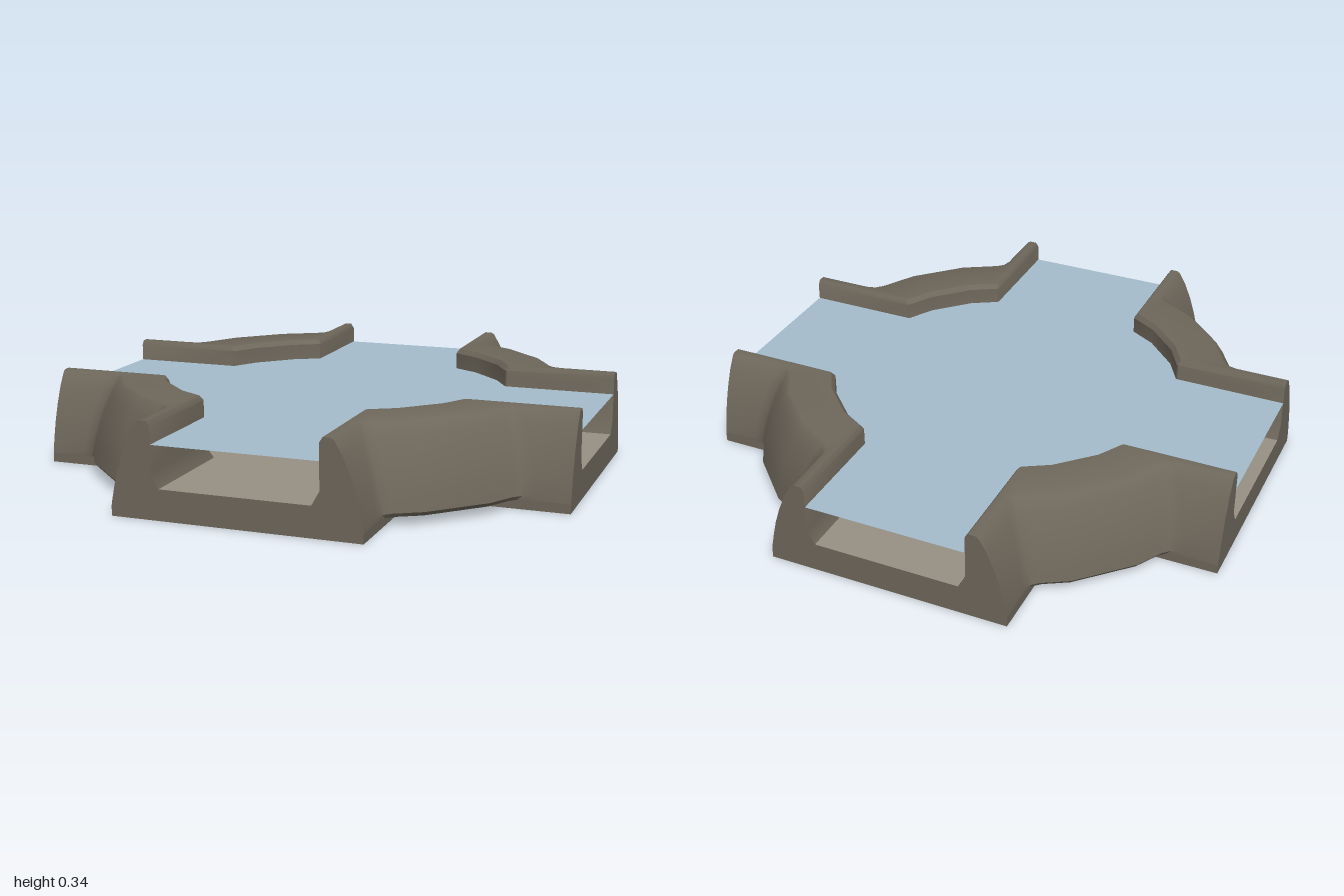
import * as THREE from 'three';
import { toCreasedNormals } from 'three/addons/utils/BufferGeometryUtils.js';

// wall profile, outer foot to inner foot: [distance from arm axis, radius in the round middle, height]
const PROFILE = [
  [0.45, 0.936, 0.035], [0.448, 0.948, 0.05], [0.436, 0.936, 0.11], [0.424, 0.922, 0.16],
  [0.405, 0.9, 0.22], [0.378, 0.868, 0.285], [0.35, 0.838, 0.333], [0.338, 0.826, 0.34],
  [0.312, 0.67, 0.34], [0.3, 0.655, 0.322], [0.3, 0.655, 0.16], [0.272, 0.627, 0.11],
];
const LAST_OUTER = 7;

// plan line [x, z] of one corner wall: straight, bend, faceted arc, bend, straight
function planPath(a, r, fillet) {
  const at = (deg) => {
    const t = THREE.MathUtils.degToRad(deg);
    return [r * Math.cos(t), r * Math.sin(t)];
  };
  const p = at(22.5), q = at(37.5);
  const k = (a - p[1]) / (q[1] - p[1]);
  const c = [p[0] + k * (q[0] - p[0]), a];
  const len = Math.hypot(q[0] - c[0], q[1] - c[1]);
  const s = [c[0] + fillet, a];
  const e = [0, 1].map((i) => c[i] + (fillet * (q[i] - c[i])) / len);
  const m = [0, 1].map((i) => 0.25 * s[i] + 0.5 * c[i] + 0.25 * e[i]);
  const half = [[1, a], s, m, e, q];
  return [...half, ...half.map(([x, z]) => [z, x]).reverse()];
}

// loft of the profile rows along the plan
function wallGeometry() {
  const rows = PROFILE.map(([a, r, y], j) =>
    planPath(a, r, j <= LAST_OUTER ? 0.04 : 0.006).map(([x, z]) => [x, y, z]));
  const n = rows[0].length;
  const index = [];
  for (let j = 0; j < rows.length - 1; j++) {
    for (let i = 0; i < n - 1; i++) {
      const k = j * n + i;
      index.push(k, k + n, k + 1, k + 1, k + n, k + n + 1);
    }
  }
  const g = new THREE.BufferGeometry();
  g.setAttribute('position', new THREE.Float32BufferAttribute(rows.flat(2), 3));
  g.setIndex(index);
  return toCreasedNormals(g, 0.6);
}

const shapeOf = (pts) => new THREE.Shape(pts.map(([x, y]) => new THREE.Vector2(x, y)));

// flat horizontal face from [x, z] points
function flat(pts, y, up) {
  const sign = up ? -1 : 1;
  const g = new THREE.ShapeGeometry(shapeOf(pts.map(([x, z]) => [x, sign * z])));
  return g.rotateX(sign * Math.PI / 2).translate(0, y, 0);
}

// whole cross-with-round-middle outline, from one corner line turned four times
function outline(a, r) {
  const pts = [];
  let corner = planPath(a, r, 0.006);
  for (let i = 0; i < 4; i++) {
    pts.push(...corner);
    corner = corner.map(([x, z]) => [-z, x]);
  }
  return pts;
}

export function createModel() {
  const model = new THREE.Group();
  const stone = new THREE.MeshStandardMaterial({ color: 0x6e675b });
  const bed = new THREE.MeshStandardMaterial({ color: 0x989184 });
  const water = new THREE.MeshStandardMaterial({ color: 0xa4bccb, side: THREE.DoubleSide });
  stone.name = 'stone';
  bed.name = 'channel bed';
  water.name = 'water';

  const add = (name, geometry, material, turn = 0) => {
    const mesh = new THREE.Mesh(geometry, material);
    mesh.name = name;
    mesh.rotation.y = turn;
    model.add(mesh);
  };

  // cross-shaped foundation slab
  const w = 0.45;
  const cross = shapeOf([[1, -w], [1, w], [w, w], [w, 1], [-w, 1], [-w, w],
    [-1, w], [-1, -w], [-w, -w], [-w, -1], [w, -1], [w, -w]]);
  const slab = new THREE.ExtrudeGeometry(cross, { depth: 0.035, bevelEnabled: false });
  add('foundation', slab.rotateX(Math.PI / 2).translate(0, 0.035, 0), stone);

  // corner walls, their undersides and the cut ends of the four arms
  const wall = wallGeometry();
  const foot = planPath(PROFILE[0][0], PROFILE[0][1], 0.04).slice(1, -1);
  const underside = flat([...foot, [0.44, 0.44]], 0.035, false);
  const section = PROFILE.map(([a, , y]) => [a, y]);
  const mirrored = section.map(([x, y]) => [-x, y]).reverse();
  const end = new THREE.ShapeGeometry(shapeOf([...section, ...mirrored])).translate(0, 0, 1);
  for (let i = 0; i < 4; i++) {
    const turn = (i * Math.PI) / 2;
    add('cornerWall', wall, stone, turn);
    add('wallUnderside', underside, stone, turn);
    add('armEnd', end, stone, turn);
  }

  // channel floor and water surface
  add('channelFloor', flat(outline(0.272, 0.627), 0.11, true), bed);
  add('waterSurface', flat(outline(0.3, 0.655), 0.26, true), water);
  return model;
}
